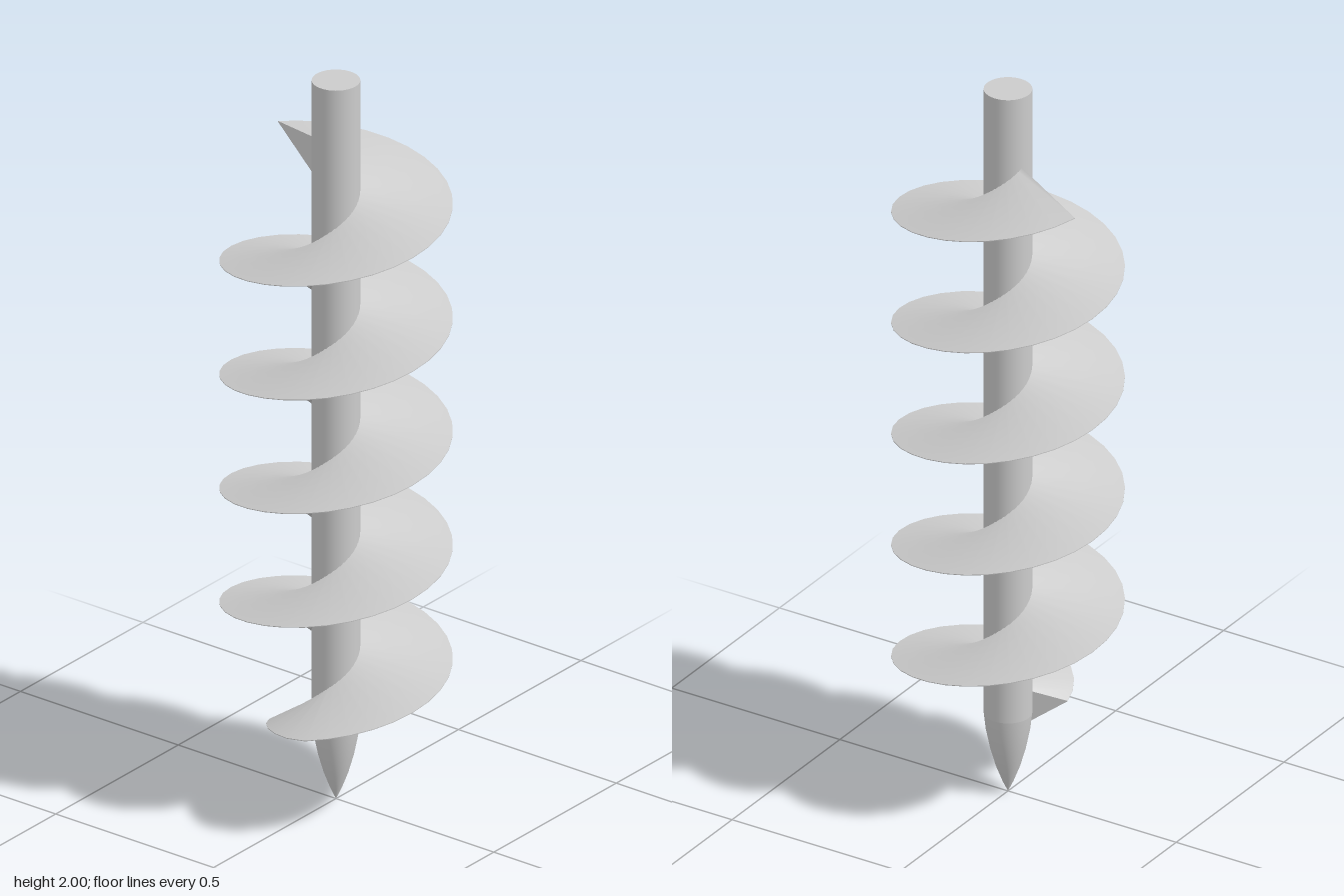
import * as THREE from 'three';
import { mergeGeometries } from 'three/addons/utils/BufferGeometryUtils.js';

const PITCH = 0.3165, BASE = 0.1985;   // height per turn, height at angle zero
const STEP = Math.PI / 16;             // 32 steps per turn
const FIRST = 4, LAST = 158;           // first and last step of the flight
const R_OUT = 0.293, R_IN = 0.05, R_SHAFT = 0.061;

// Helix point: angle zero is -x, rising towards +z
function helixPoint(a, r, dy, lead = 0) {
  const y = BASE + (a / (2 * Math.PI)) * PITCH + dy;
  return [-r * Math.cos(a + lead), y, r * Math.sin(a + lead)];
}

// Wedge section: root top, tip top, tip bottom, root bottom
function section(i) {
  const a = i * STEP;
  const r = THREE.MathUtils.lerp(0.152, R_OUT, Math.min(1, (i - FIRST) / 5.7));
  return [
    helixPoint(a, R_IN, 0.043),
    helixPoint(a, r, 0.001),
    helixPoint(a, r, -0.001),
    helixPoint(a, R_IN, -0.064, 0.42),
  ];
}

function geometry(positions, index) {
  const g = new THREE.BufferGeometry();
  g.setAttribute('position', new THREE.Float32BufferAttribute(positions, 3));
  g.setIndex(index);
  g.computeVertexNormals();
  return g;
}

function flightGeometry() {
  const parts = [];
  // One smooth strip per side of the wedge, with sharp edges between them
  for (let k = 0; k < 3; k++) {
    const pos = [], index = [];
    for (let i = FIRST; i <= LAST; i++) {
      const s = section(i);
      pos.push(...s[k], ...s[k + 1]);
      if (i < LAST) {
        const n = (i - FIRST) * 2;
        index.push(n, n + 1, n + 3, n, n + 3, n + 2);
      }
    }
    parts.push(geometry(pos, index));
  }
  // End faces
  parts.push(geometry(section(FIRST).flat(), [0, 2, 1, 0, 3, 2]));
  parts.push(geometry(section(LAST).flat(), [0, 1, 2, 0, 2, 3]));
  return mergeGeometries(parts);
}

export function createModel() {
  const group = new THREE.Group();
  group.name = 'auger';
  const material = new THREE.MeshStandardMaterial({ color: 0xcccccc });
  const add = (name, geo, y = 0) => {
    const mesh = new THREE.Mesh(geo, material);
    mesh.name = name;
    mesh.position.y = y;
    group.add(mesh);
  };

  // Straight round shaft
  const bottom = 0.225;
  add('shaft', new THREE.CylinderGeometry(R_SHAFT, R_SHAFT, 2 - bottom, 48), (2 + bottom) / 2);

  // Bullet-shaped point
  const profile = [[0, 0], [0.014, 0.03], [0.031, 0.075], [0.045, 0.125], [0.056, 0.18], [R_SHAFT, bottom]];
  add('point', new THREE.LatheGeometry(profile.map(([x, y]) => new THREE.Vector2(x, y)), 48));

  // Spiral blade
  add('spiralFlight', flightGeometry());
  return group;
}
